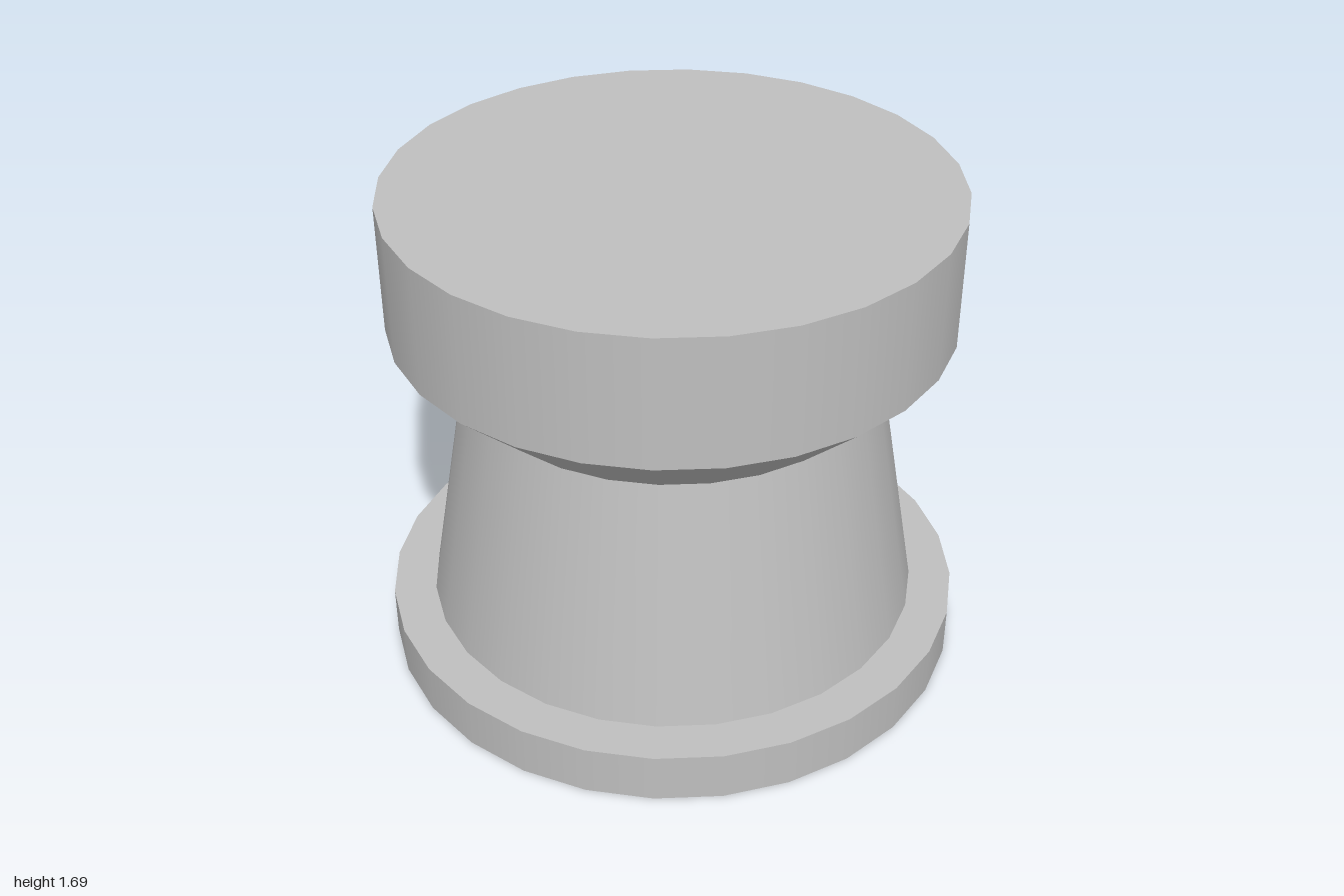
import * as THREE from 'three';

const SIDES = 28;

export function createModel() {
  const model = new THREE.Group();
  model.name = 'pedestal';

  const grey = new THREE.MeshStandardMaterial({ color: 0xbfbfbf });
  grey.name = 'light grey';

  // Round section between two heights, smooth around and crisp at the rims
  const section = (name, bottomY, topY, bottomRadius, topRadius, open = false) => {
    const geometry = new THREE.CylinderGeometry(
      topRadius, bottomRadius, topY - bottomY, SIDES, 1, open);
    const mesh = new THREE.Mesh(geometry, grey);
    mesh.name = name;
    mesh.position.y = (bottomY + topY) / 2;
    model.add(mesh);
  };

  section('baseFlange', 0, 0.175, 1, 1);
  section('taperedBody', 0.175, 1.03, 0.853, 0.705, true);
  section('flaredCollar', 1.03, 1.25, 0.705, 0.94, true);
  section('capDrum', 1.25, 1.69, 0.94, 0.94);

  return model;
}
